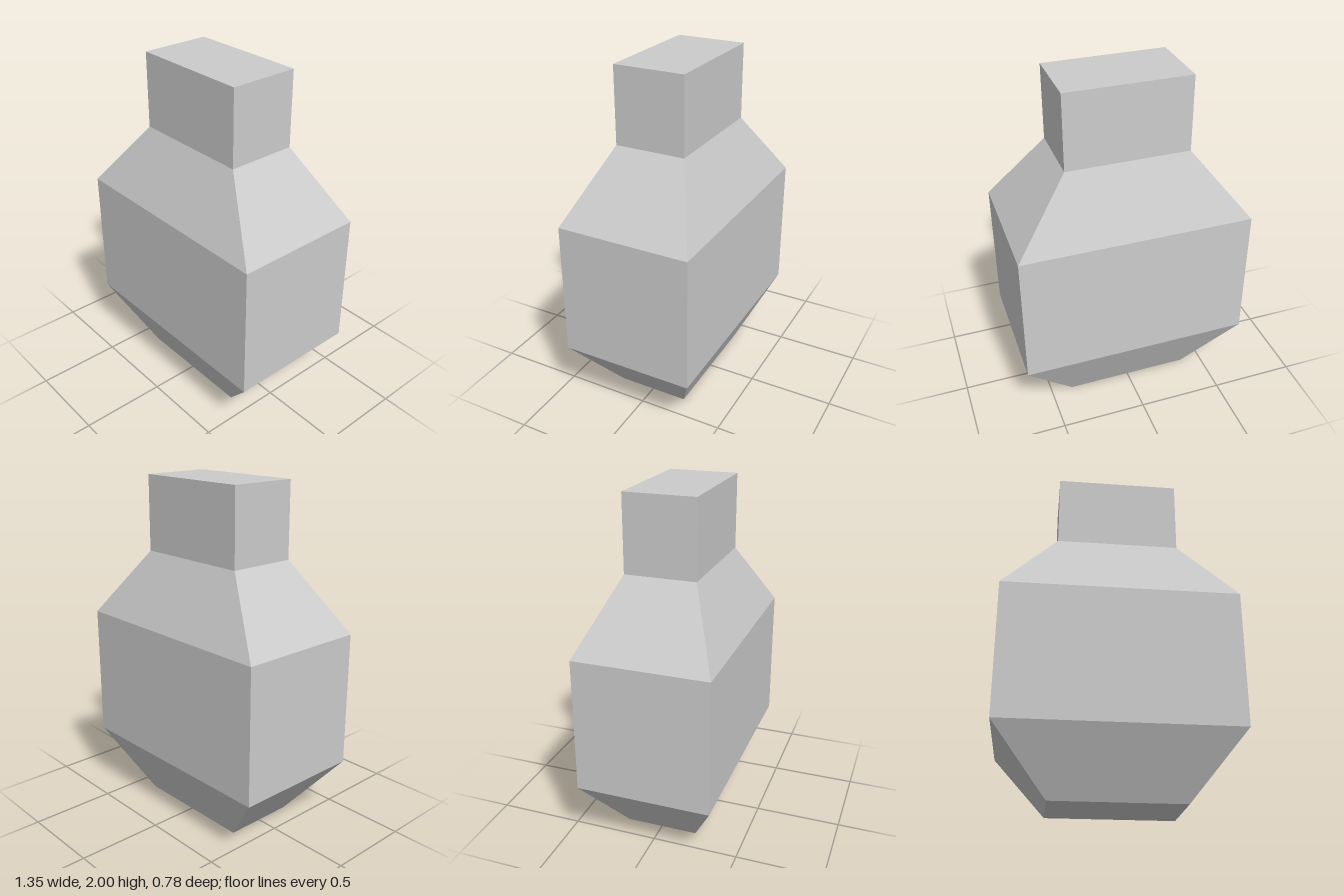
import * as THREE from 'three';

// Rectangular cross-sections from bottom to top: [y, half width, half depth]
const SECTIONS = [
  [0, 0.372, 0.212],     // foot
  [0.373, 0.675, 0.39],  // lower edge of the body
  [1.16, 0.675, 0.39],   // upper edge of the body
  [1.56, 0.358, 0.205],  // bottom of the neck
  [2, 0.358, 0.205],     // top of the neck
];

// Closed, faceted shell: each row of a segmented box is fitted to one section
function loftRectangles(sections) {
  const rows = sections.length - 1;
  const box = new THREE.BoxGeometry(2, rows, 2, 1, rows, 1);
  const pos = box.attributes.position;
  for (let i = 0; i < pos.count; i++) {
    const [y, halfWidth, halfDepth] = sections[Math.round(pos.getY(i) + rows / 2)];
    pos.setXYZ(i, Math.sign(pos.getX(i)) * halfWidth, y, Math.sign(pos.getZ(i)) * halfDepth);
  }
  const geometry = box.toNonIndexed();
  geometry.computeVertexNormals();
  return geometry;
}

export function createModel() {
  const group = new THREE.Group();
  group.name = 'bottle';

  // Tapered foot, straight body, sloping shoulders and neck in one shell
  const material = new THREE.MeshStandardMaterial({ color: 0xcccccc, flatShading: true });
  const shell = new THREE.Mesh(loftRectangles(SECTIONS), material);
  shell.name = 'bottleShell';
  group.add(shell);

  return group;
}
